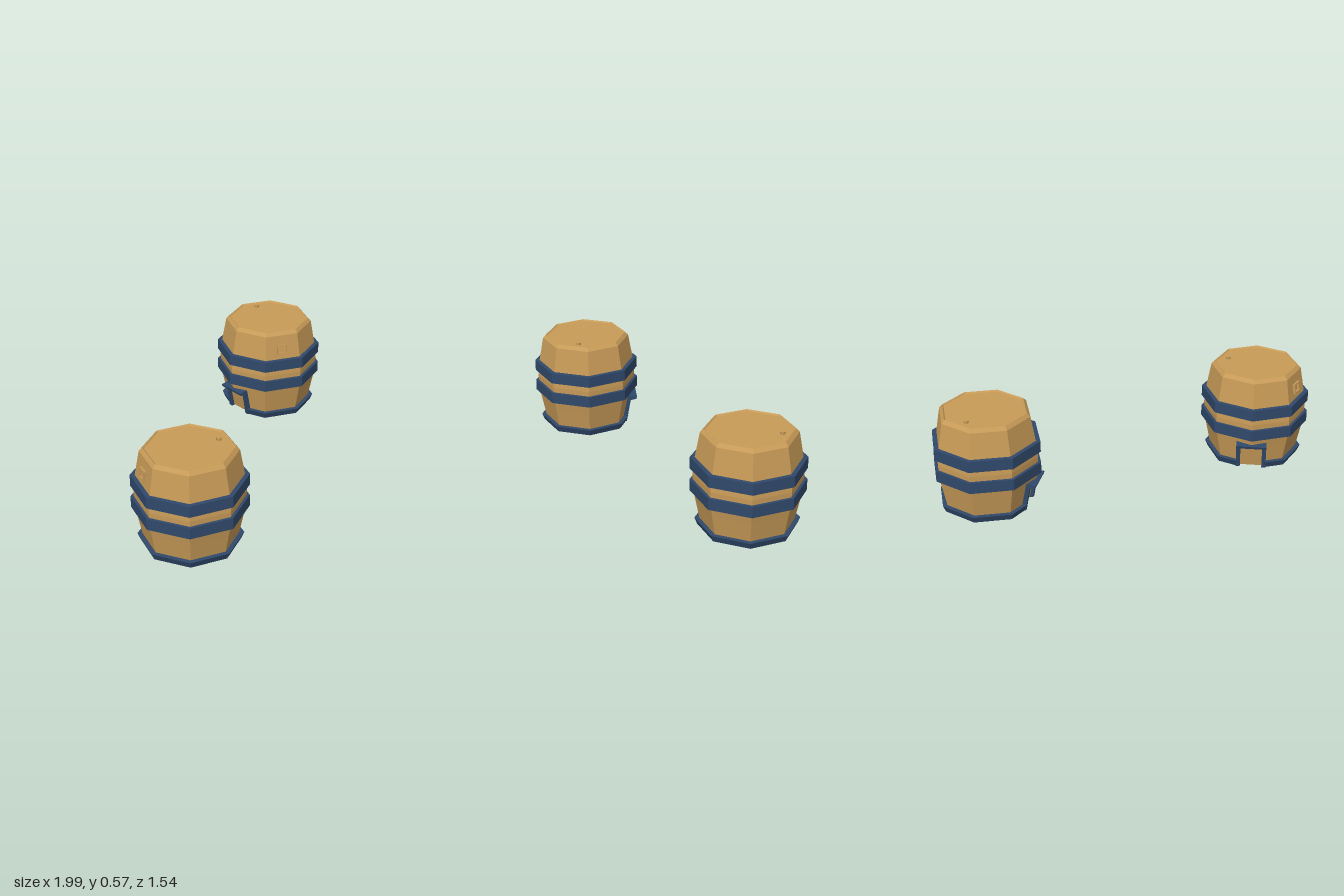
import * as THREE from 'three';

const wood = new THREE.MeshStandardMaterial({ color: 0xc89b58 });
wood.name = 'wood';
const iron = new THREE.MeshStandardMaterial({ color: 0x30496b });
iron.name = 'blue iron';

// Eight-sided outline at height y; the corner at -x is chopped to a flat 2w wide
function outline(r, y, w = 0) {
  const flat = -r + w * Math.tan(Math.PI / 8);
  const pts = [new THREE.Vector3(flat, y, -w)];
  for (let i = 5; i <= 11; i++) {
    const a = (i * Math.PI) / 4;
    pts.push(new THREE.Vector3(r * Math.cos(a), y, r * Math.sin(a)));
  }
  pts.push(new THREE.Vector3(flat, y, w));
  return pts;
}

// Skin a stack of outlines with flat faces, skipping collapsed triangles
function loft(rows, closed) {
  const pos = [];
  const tri = new THREE.Triangle();
  const add = (a, b, c) => {
    if (tri.set(a, b, c).getArea() > 1e-7) for (const p of [a, b, c]) pos.push(p.x, p.y, p.z);
  };
  for (let j = 0; j < rows.length - 1; j++) {
    const lo = rows[j], hi = rows[j + 1], n = lo.length;
    for (let i = 0; i < (closed ? n : n - 1); i++) {
      const k = (i + 1) % n;
      add(lo[i], hi[i], hi[k]);
      add(lo[i], hi[k], lo[k]);
    }
  }
  const g = new THREE.BufferGeometry();
  g.setAttribute('position', new THREE.Float32BufferAttribute(pos, 3));
  g.computeVertexNormals();
  return g;
}

// Extrude an x-y profile along z, centred on z
function slab(points, depth, z = 0) {
  const shape = new THREE.Shape(points.map(([x, y]) => new THREE.Vector2(x, y)));
  return new THREE.ExtrudeGeometry(shape, { depth, bevelEnabled: false }).translate(0, 0, z - depth / 2);
}

function createBarrel() {
  const barrel = new THREE.Group();
  const add = (name, geometry, material) => {
    const m = new THREE.Mesh(geometry, material);
    m.name = name;
    barrel.add(m);
    return m;
  };

  // Bulging body with chamfered rim, sunken lid and a flat doorway: [radius, y, cut]
  const profile = [
    [0, 0.004], [0.25, 0.004, 0.07], [0.28, 0.15, 0.07], [0.28, 0.15], [0.293, 0.21],
    [0.296, 0.3], [0.286, 0.4], [0.26, 0.545], [0.242, 0.565], [0.234, 0.557], [0, 0.557],
  ];
  add('body', loft(profile.map(p => outline(...p)), true), wood);

  // Middle hoops
  for (const [name, y0, y1] of [['lowerHoop', 0.205, 0.27], ['upperHoop', 0.335, 0.4]]) {
    const rows = [[0.28, y0], [0.312, y0], [0.312, y1], [0.28, y1]];
    add(name, loft(rows.map(p => outline(...p)), true), iron);
  }

  // Bottom hoop, open at the doorway
  const base = [[0.24, 0], [0.268, 0], [0.284, 0.038], [0.25, 0.038]];
  add('bottomHoop', loft(base.map(([r, y]) => outline(r, y, 0.08)), false), iron);

  // Door frame: two sloping posts and a jutting lintel
  for (const s of [-1, 1]) {
    const post = [[-0.215, 0], [-0.24, 0], [-0.268, 0.155], [-0.235, 0.155]];
    add(s < 0 ? 'doorPostRight' : 'doorPostLeft', slab(post, 0.024, s * 0.075), iron);
  }
  const lintel = [[-0.235, 0.14], [-0.262, 0.142], [-0.3, 0.15], [-0.305, 0.165], [-0.235, 0.172]];
  add('doorLintel', slab(lintel, 0.174), iron);

  // Small square window frame on the upper front face
  const frame = new THREE.Shape([[-1, -1], [1, -1], [1, 1], [-1, 1]]
    .map(([x, y]) => new THREE.Vector2(x * 0.034, y * 0.03)));
  frame.holes.push(new THREE.Path([[-1, -1], [-1, 1], [1, 1], [1, -1]]
    .map(([x, y]) => new THREE.Vector2(x * 0.023, y * 0.019))));
  const windowFrame = add('windowFrame',
    new THREE.ExtrudeGeometry(frame, { depth: 0.026, bevelEnabled: false }), wood);
  const a = (112.5 * Math.PI) / 180;
  windowFrame.position.set(0.242 * Math.cos(a), 0.46, 0.242 * Math.sin(a));
  windowFrame.rotation.set(-0.16, Math.PI / 2 - a, 0, 'YXZ');

  // Lid peg
  add('lidPeg', new THREE.CylinderGeometry(0.014, 0.014, 0.02, 8).toNonIndexed(), wood)
    .position.set(0.05, 0.562, -0.165);
  return barrel;
}

export function createModel() {
  const model = new THREE.Group();
  const back = createBarrel();
  back.name = 'backBarrel';
  back.position.set(0.684, 0, -0.457);
  const front = createBarrel();
  front.name = 'frontBarrel';
  front.position.set(-0.684, 0, 0.457);
  front.rotation.y = (-84.5 * Math.PI) / 180;
  model.add(back, front);
  return model;
}
